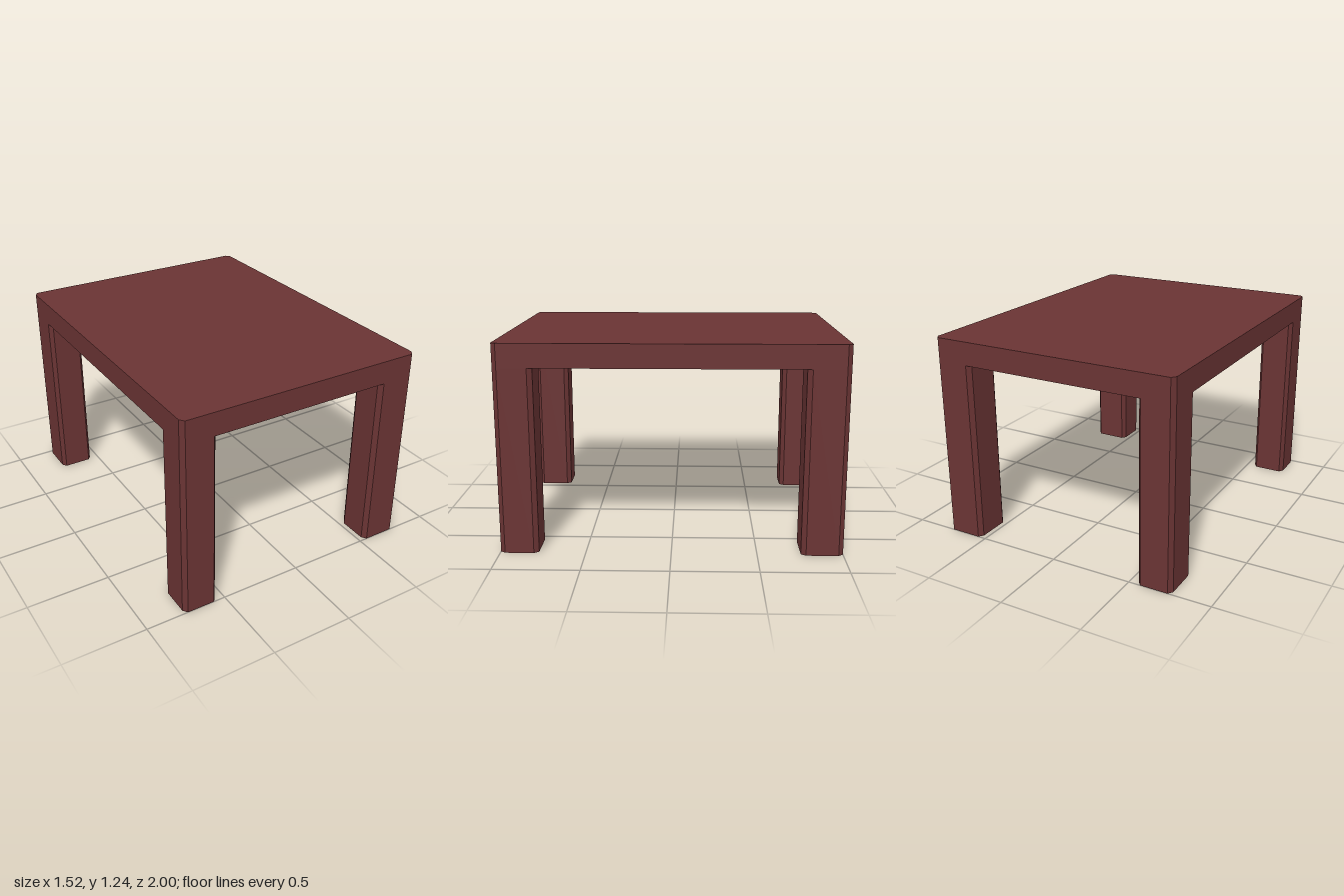
import * as THREE from 'three';

const CX = 0.021, CZ = 0.028; // corner chamfer along x and z

// Upright block with chamfered vertical edges, spanning the given x, z and y ranges
function chamferedBlock(x0, x1, z0, z1, y0, y1) {
  const shape = new THREE.Shape([
    [x0 + CX, z0], [x1 - CX, z0], [x1, z0 + CZ], [x1, z1 - CZ],
    [x1 - CX, z1], [x0 + CX, z1], [x0, z1 - CZ], [x0, z0 + CZ],
  ].map(([x, z]) => new THREE.Vector2(x, -z)));
  const geometry = new THREE.ExtrudeGeometry(shape, { depth: y1 - y0, bevelEnabled: false });
  geometry.rotateX(-Math.PI / 2);
  geometry.translate(0, y0, 0);
  return geometry;
}

export function createModel() {
  const table = new THREE.Group();
  table.name = 'table';
  const wood = new THREE.MeshStandardMaterial({ color: 0x6a3434 });
  wood.name = 'dark red wood';

  const add = (name, ...range) => {
    const mesh = new THREE.Mesh(chamferedBlock(...range), wood);
    mesh.name = name;
    table.add(mesh);
  };

  // Thick top, flush with the outer faces of the legs
  add('tableTop', -0.762, 0.762, -1, 1, 1.095, 1.235);

  // Four square legs, one under each corner
  const sides = { Right: [-0.762, -0.55], Left: [0.53, 0.762] };
  const ends = { front: [0.775, 1], back: [-1, -0.755] };
  for (const [end, z] of Object.entries(ends)) {
    for (const [side, x] of Object.entries(sides)) {
      add(`${end}${side}Leg`, ...x, ...z, 0, 1.095);
    }
  }
  return table;
}
